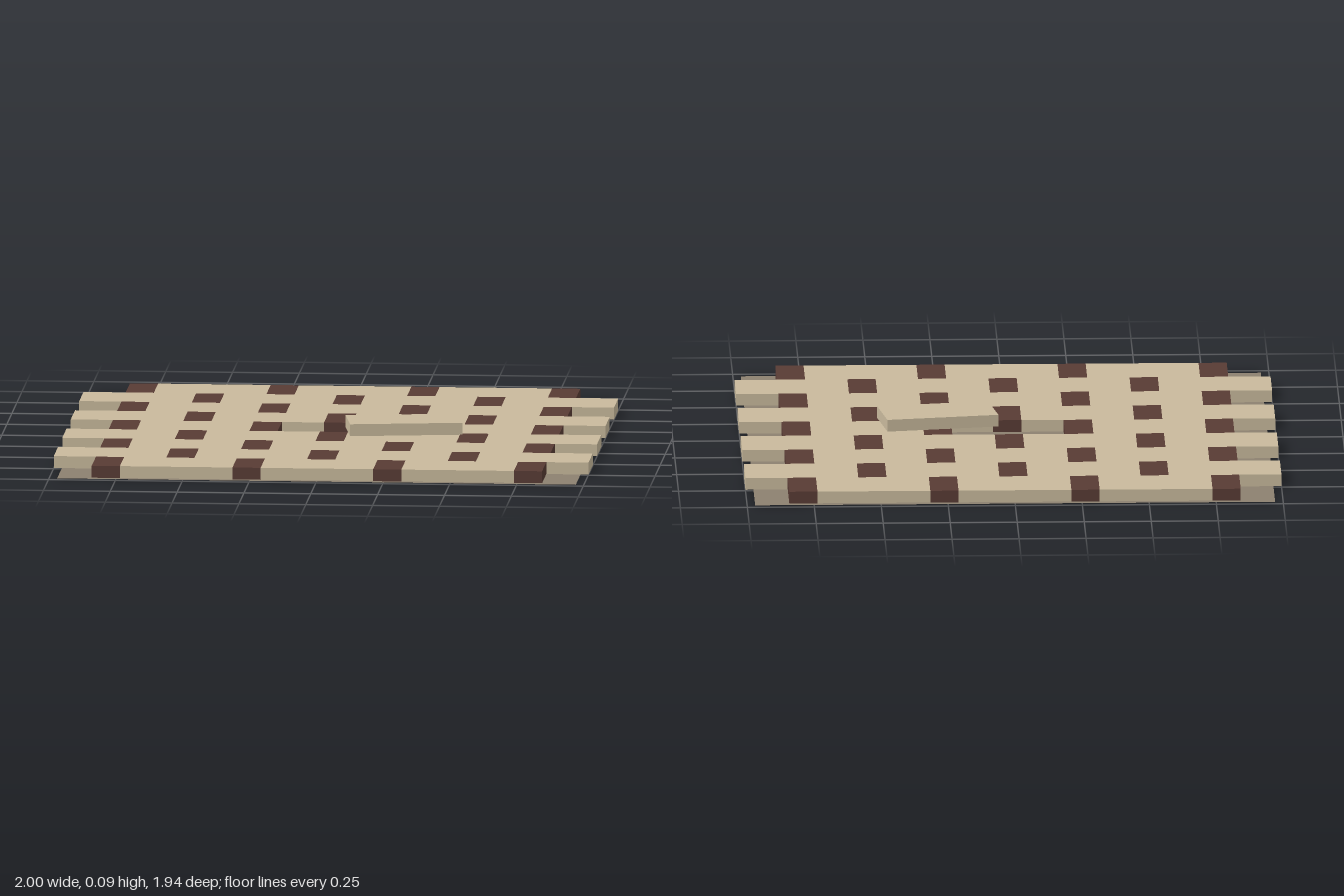
import * as THREE from 'three';

const U = 2 / 19;          // joint width; a brick is 4U long and 2U deep
const THICK = 0.045;
const ROWS = 9;

export function createModel() {
  const group = new THREE.Group();
  const sand = new THREE.MeshStandardMaterial({ color: 0xc8b99c });
  const darkBrown = new THREE.MeshStandardMaterial({ color: 0x583b34 });
  const greyBrown = new THREE.MeshStandardMaterial({ color: 0x8c806f, side: THREE.DoubleSide });

  const brickGeo = new THREE.BoxGeometry(4 * U, THICK, 2 * U);
  const spacerGeo = new THREE.BoxGeometry(U, THICK, 2 * U);

  const add = (name, geo, mat, x, y, z) => {
    const mesh = new THREE.Mesh(geo, mat);
    mesh.name = name;
    mesh.position.set(x, y, z);
    group.add(mesh);
    return mesh;
  };

  // Thin bed under the paving
  const bed = add('bed', new THREE.PlaneGeometry(1.94, 1.94), greyBrown, 0, 0, 0);
  bed.rotation.x = -Math.PI / 2;

  // Alternating rows: three bricks between four spacers, then four bricks between three spacers
  const y = THICK / 2 + 0.0005;
  for (let row = 0; row < ROWS; row++) {
    const z = (row - (ROWS - 1) / 2) * 2 * U;
    const bricks = row % 2 ? 4 : 3;
    const spacers = 7 - bricks;
    for (let i = 0; i < bricks; i++) {
      if (row === 4 && i === 1) continue; // gap left by the loose brick
      add('brick', brickGeo, sand, (i - (bricks - 1) / 2) * 5 * U, y, z);
    }
    for (let i = 0; i < spacers; i++) {
      add('spacer', spacerGeo, darkBrown, (i - (spacers - 1) / 2) * 5 * U, y, z);
    }
  }

  // Loose brick lying askew on top
  const loose = add('looseBrick', brickGeo, sand, 0.26, 0.07, 0.075);
  loose.rotation.y = THREE.MathUtils.degToRad(9);

  return group;
}
